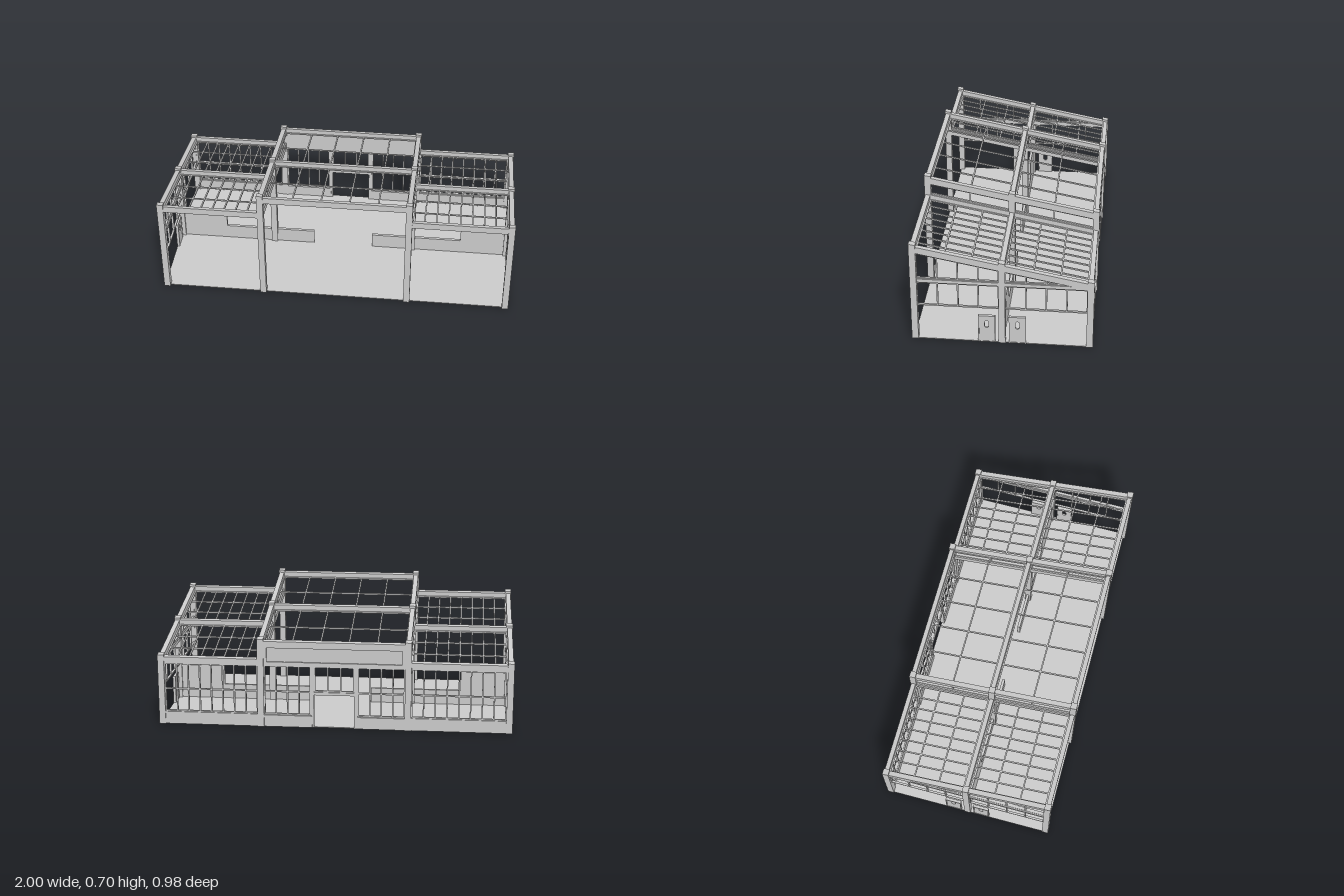
import * as THREE from 'three';

const mat = new THREE.MeshStandardMaterial({ color: 0xcccccc, flatShading: true });
const SLOPE = 0.19;                          // roof pitch, rising to the front
const centreTop = 0.592, sideTop = 0.487;    // beam tops at z = 0
const BEAM = 0.038, BAR = 0.008, FB = 0.472; // beam depth, glazing bar, post line
const XO = 0.981, XI = 0.415;                // outer and inner post lines

export function createModel() {
  const model = new THREE.Group();

  // box from limits; shear tilts it along z ('all' or only its 'top')
  function box(parent, name, x0, x1, y0, y1, z0, z1, shear) {
    const g = new THREE.BoxGeometry(x1 - x0, y1 - y0, z1 - z0);
    g.translate((x0 + x1) / 2, (y0 + y1) / 2, (z0 + z1) / 2);
    if (shear) {
      const p = g.attributes.position, mid = (y0 + y1) / 2;
      for (let i = 0; i < p.count; i++)
        if (shear === 'all' || p.getY(i) > mid) p.setY(i, p.getY(i) + SLOPE * p.getZ(i));
      g.computeVertexNormals();
    }
    const m = new THREE.Mesh(g, mat);
    m.name = name;
    parent.add(m);
    return m;
  }
  const group = (name) => {
    const g = new THREE.Group();
    g.name = name;
    model.add(g);
    return g;
  };

  // glazed frame on the back wall: border, columns and rails
  function backWindow(parent, x0, x1, y0, y1, cols, rails) {
    const z0 = -FB - 0.006, z1 = -FB + 0.006;
    for (let i = 0; i <= cols; i++) {
      const x = x0 + (x1 - x0) * i / cols;
      box(parent, 'windowMullion', x - BAR / 2, x + BAR / 2, y0, y1, z0, z1);
    }
    for (const y of [y0, y1, ...rails])
      box(parent, 'windowRail', x0, x1, y - BAR / 2, y + BAR / 2, z0, z1);
  }

  // sloped glazing grid of one roof bay
  function roofGrid(parent, x0, x1, z0, z1, top, cols, rows) {
    const y = top - BEAM * 0.7;
    for (let i = 0; i <= cols; i++) {
      const x = x0 + (x1 - x0) * i / cols;
      box(parent, 'roofBar', x - BAR / 2, x + BAR / 2, y - BAR, y, z0, z1, 'all');
    }
    for (let i = 0; i <= rows; i++) {
      const z = z0 + (z1 - z0) * i / rows;
      box(parent, 'roofPurlin', x0, x1, y - BAR, y, z - BAR / 2, z + BAR / 2, 'all');
    }
  }

  box(model, 'floor', -0.995, 0.995, 0, 0.004, -0.478, 0.478);

  // posts
  const posts = group('posts');
  for (const s of [-1, 1]) for (const z of [-FB, 0, FB]) {
    const h = 0.018;
    box(posts, 'outerPost', s * XO - h, s * XO + h, 0, sideTop + 0.013, z - h, z + h, 'top');
    box(posts, 'innerPost', s * XI - h, s * XI + h, 0, centreTop + 0.013, z - h, z + h, 'top');
  }

  // roof beams and glazing
  const roof = group('roofFrame');
  for (const z of [-FB, 0, FB]) {
    box(roof, 'centreCrossBeam', -XI, XI, centreTop - BEAM, centreTop, z - 0.013, z + 0.013, 'all');
    for (const s of [-1, 1]) {
      const a = s < 0 ? -XO : XI, b = s < 0 ? -XI : XO;
      box(roof, 'sideCrossBeam', a, b, sideTop - BEAM, sideTop, z - 0.013, z + 0.013, 'all');
    }
  }
  for (const s of [-1, 1]) {
    for (const [x, top] of [[XI, centreTop], [XI, sideTop], [XO, sideTop]])
      box(roof, 'slopedRafter', s * x - 0.014, s * x + 0.014, top - BEAM, top, -FB, FB, 'all');
    for (const h of [-1, 1]) {
      const z0 = h < 0 ? -0.455 : 0.018, z1 = h < 0 ? -0.018 : 0.455;
      const x0 = s < 0 ? -0.962 : 0.433, x1 = s < 0 ? -0.433 : 0.962;
      roofGrid(roof, x0, x1, z0, z1, sideTop, 8, 3);
      if (s > 0) roofGrid(roof, -0.4, 0.4, z0, z1, centreTop, 5, 2);
      // clerestory between the two roof levels
      const cx = s * XI, bar = (y) => box(roof, 'clerestoryRail', cx - 0.006, cx + 0.006, y - BAR, y, z0, z1, 'all');
      bar(centreTop - BEAM + 0.001);
      bar(sideTop + BAR);
      const c = h * 0.235;
      box(roof, 'clerestoryMullion', cx - 0.005, cx + 0.005, sideTop, centreTop - BEAM, c - BAR / 2, c + BAR / 2, 'all');
    }
  }

  // end walls: tie beam, window band, gable bars
  for (const s of [-1, 1]) {
    const wall = group(s > 0 ? 'leftEndWall' : 'rightEndWall');
    const x = s * XO, x0 = x - 0.006, x1 = x + 0.006;
    box(wall, 'tieBeam', x - 0.013, x + 0.013, 0.358, 0.378, -FB, FB);
    for (const h of [-1, 1]) {
      const z0 = h < 0 ? -0.455 : 0.018, z1 = h < 0 ? -0.018 : 0.455;
      for (const y of [0.213, 0.354]) box(wall, 'windowRail', x0, x1, y - BAR / 2, y + BAR / 2, z0, z1);
      for (let i = 0; i <= 4; i++) {
        const z = z0 + (z1 - z0) * i / 4, under = sideTop - BEAM + SLOPE * z;
        box(wall, 'windowMullion', x0, x1, 0.21, 0.358, z - BAR / 2, z + BAR / 2);
        if (under > 0.385) box(wall, 'gableMullion', x0, x1, 0.378, under + 0.004, z - BAR / 2, z + BAR / 2);
      }
    }
    box(wall, 'gableRail', x0, x1, 0.378, 0.384, -0.38, 0.455);
    box(wall, 'gableTopRail', x0, x1, sideTop - BEAM - BAR, sideTop - BEAM, -0.33, 0.455, 'all');

    // pair of doors with rounded lights
    for (const h of [-1, 1]) {
      const shape = new THREE.Shape([[-0.044, 0], [0.044, 0], [0.044, 0.164], [-0.044, 0.164]]
        .map((p) => new THREE.Vector2(...p)));
      const hole = new THREE.Path();
      hole.absarc(0, 0.124, 0.011, 0, Math.PI, false);
      hole.absarc(0, 0.1, 0.011, Math.PI, Math.PI * 2, false);
      hole.closePath();
      shape.holes.push(hole);
      const door = new THREE.Mesh(
        new THREE.ExtrudeGeometry(shape, { depth: 0.01, bevelEnabled: false, curveSegments: 8 }), mat);
      door.name = 'door';
      door.rotation.y = Math.PI / 2;
      door.position.set(s * 0.987 - 0.005, 0, h * 0.083);
      wall.add(door);
      const c = h * 0.083, a = s * 0.988 - 0.008, b = s * 0.988 + 0.008;
      for (const e of [-1, 1])
        box(wall, 'doorJamb', a, b, 0, 0.166, c + e * 0.043 - 0.003, c + e * 0.043 + 0.003);
      box(wall, 'doorHead', a, b, 0.16, 0.166, c - 0.046, c + 0.046);
    }
  }

  // back wall: base, glazing, entrance and blank fascia
  const back = group('backWall');
  for (const s of [-1, 1]) {
    const span = (a, b) => (s < 0 ? [-b, -a] : [a, b]);
    box(back, 'sideBase', ...span(XI, XO), 0, 0.072, -FB - 0.013, -FB + 0.013);
    box(back, 'centreBase', ...span(0.124, XI), 0, 0.068, -FB - 0.013, -FB + 0.013);
    box(back, 'entrancePost', ...span(0.113, 0.131), 0, 0.36, -FB - 0.012, -FB + 0.012);
    backWindow(back, ...span(0.436, 0.96), 0.075, 0.356, 8, [0.207]);
    backWindow(back, ...span(0.135, 0.394), 0.073, 0.356, 4, [0.207]);
  }
  backWindow(back, -0.11, 0.11, 0.214, 0.356, 3, []);
  box(back, 'entranceLintel', -0.124, 0.124, 0.193, 0.21, -FB - 0.012, -FB + 0.012);
  box(back, 'fasciaPanel', -XI, XI, 0.358, 0.49, -FB - 0.004, -FB + 0.012);
  box(back, 'fasciaLowerTrim', -XI, XI, 0.358, 0.382, -FB - 0.013, -FB + 0.012);
  for (const s of [-1, 1])
    box(back, 'fasciaEndTrim', s * 0.392 - 0.012, s * 0.392 + 0.012, 0.36, 0.48, -FB - 0.013, -FB);

  // low partition on the middle line
  const partition = group('partition');
  for (const s of [-1, 1]) {
    const span = (a, b) => (s < 0 ? [-b, -a] : [a, b]);
    box(partition, 'tallPartition', ...span(0.705, 0.975), 0, 0.205, -0.008, 0.008);
    box(partition, 'lowPartition', ...span(0.175, 0.705), 0, 0.09, -0.008, 0.008);
  }
  return model;
}
